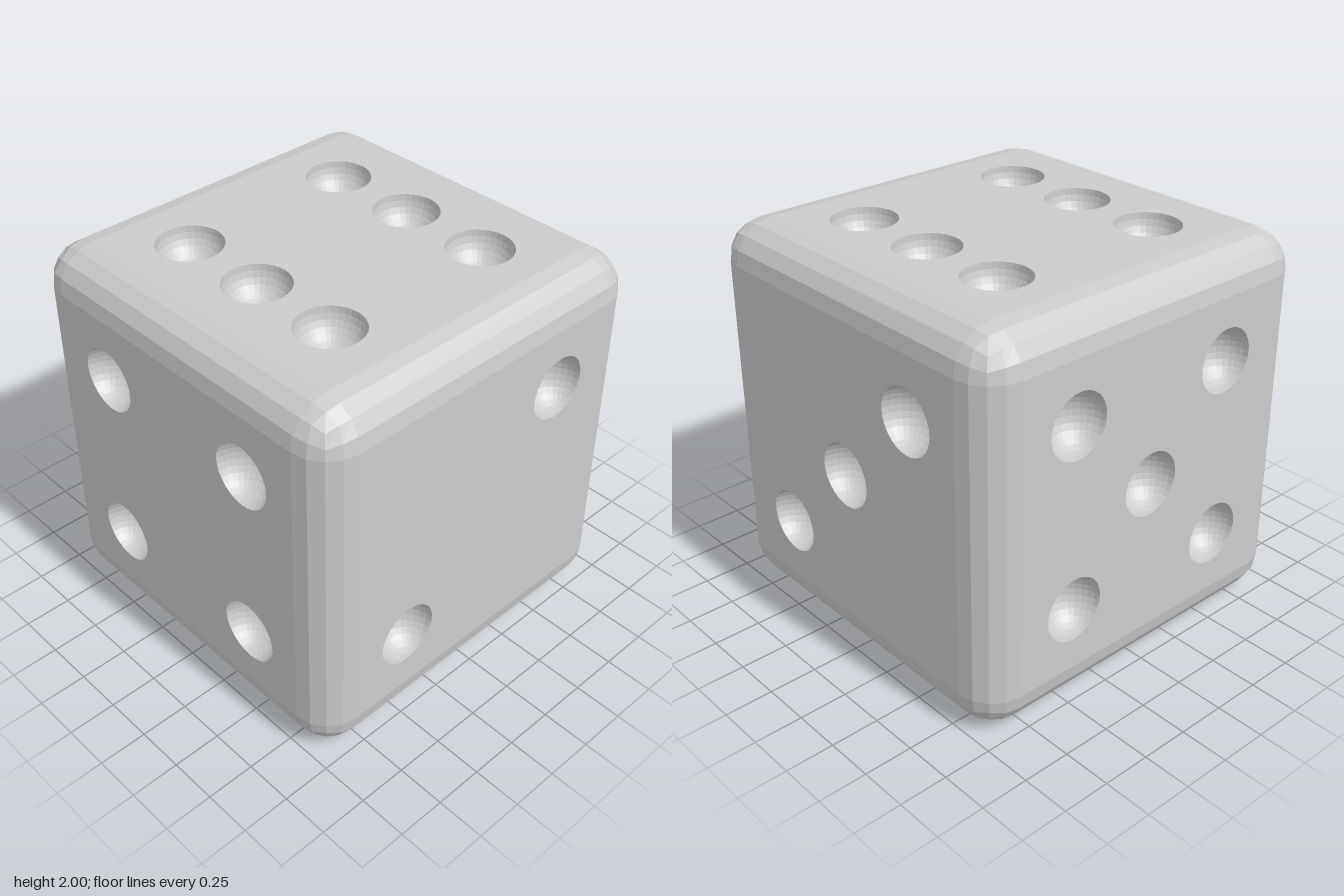
import * as THREE from 'three';

const HALF = 0.8;    // half size of the flat faces
const BEVEL = 0.2;   // edge rounding radius
const PIP = 0.165;   // pip radius
const P = 0.475;     // pip offset from the face centre

const CENTRE = [[0, 0]];
const DIAGONAL = [[-P, -P], [P, P]];
const CORNERS = [...DIAGONAL, [-P, P], [P, -P]];
const SIDES = [[-P, 0], [P, 0]];

// name, rotation x, rotation y, pip layout
const FACES = [
  ['front', 0, 0, DIAGONAL],
  ['left', 0, Math.PI / 2, [...DIAGONAL, ...CENTRE]],
  ['back', 0, Math.PI, [...CORNERS, ...CENTRE]],
  ['right', 0, -Math.PI / 2, CORNERS],
  ['top', -Math.PI / 2, 0, [...CORNERS, ...SIDES]],
  ['bottom', Math.PI / 2, 0, CENTRE],
];

function faceted(geometry) {
  const g = geometry.toNonIndexed();
  g.computeVertexNormals();
  return g;
}

// Rounded edges and corners: a gridded box pushed onto arcs, flat middles left out
function roundedFrame() {
  const t = Math.tan(Math.PI / 8);
  const steps = [-1, -t, 0, 0, t, 1];
  const box = new THREE.BoxGeometry(1, 1, 1, 5, 5, 5);
  const pos = box.attributes.position;
  const n = new THREE.Vector3();
  for (let i = 0; i < pos.count; i++) {
    const c = [pos.getX(i), pos.getY(i), pos.getZ(i)];
    n.set(...c.map((v) => steps[Math.round((v + 0.5) * 5)])).normalize();
    const [x, y, z] = c.map((v) => Math.sign(v) * HALF);
    pos.setXYZ(i, x + n.x * BEVEL, y + n.y * BEVEL, z + n.z * BEVEL);
  }
  const index = box.index.array;
  const kept = [];
  for (let i = 0; i < index.length; i += 3) {
    const tri = [index[i], index[i + 1], index[i + 2]];
    const flat = [0, 1, 2].some((a) =>
      tri.every((v) => Math.abs(pos.getComponent(v, a)) > HALF + BEVEL - 1e-4));
    if (!flat) kept.push(...tri);
  }
  box.setIndex(kept);
  return faceted(box);
}

// Flat face with a round hole for each pip
function piercedFace(pips) {
  const shape = new THREE.Shape([
    new THREE.Vector2(-HALF, -HALF), new THREE.Vector2(HALF, -HALF),
    new THREE.Vector2(HALF, HALF), new THREE.Vector2(-HALF, HALF),
  ]);
  for (const [x, y] of pips) {
    shape.holes.push(new THREE.Path().absarc(x, y, PIP, 0, Math.PI * 2, true));
  }
  return new THREE.ShapeGeometry(shape, 16);
}

export function createModel() {
  const material = new THREE.MeshStandardMaterial({ color: 0xcccccc, flatShading: true });
  const die = new THREE.Group();
  die.name = 'die';
  const add = (parent, name, geometry) => {
    const mesh = new THREE.Mesh(geometry, material);
    mesh.name = name;
    parent.add(mesh);
    return mesh;
  };

  add(die, 'roundedEdges', roundedFrame());

  // Hollow half spheres, mirrored so they face inwards; their poles stay vertical
  const sidePip = faceted(
    new THREE.SphereGeometry(PIP, 16, 16, Math.PI, Math.PI).scale(-1, 1, 1));
  const capPip = faceted(
    new THREE.SphereGeometry(PIP, 32, 8, 0, Math.PI * 2, Math.PI / 2, Math.PI / 2)
      .rotateX(Math.PI / 2).scale(-1, 1, 1));

  for (const [name, rx, ry, pips] of FACES) {
    const face = new THREE.Group();
    face.name = name + 'Face';
    face.rotation.set(rx, ry, 0);
    add(face, name + 'Panel', piercedFace(pips)).position.z = HALF + BEVEL;
    for (const [x, y] of pips) {
      add(face, name + 'Pip', rx ? capPip : sidePip).position.set(x, y, HALF + BEVEL);
    }
    die.add(face);
  }

  die.position.y = HALF + BEVEL;
  const model = new THREE.Group();
  model.name = 'model';
  model.add(die);
  return model;
}
